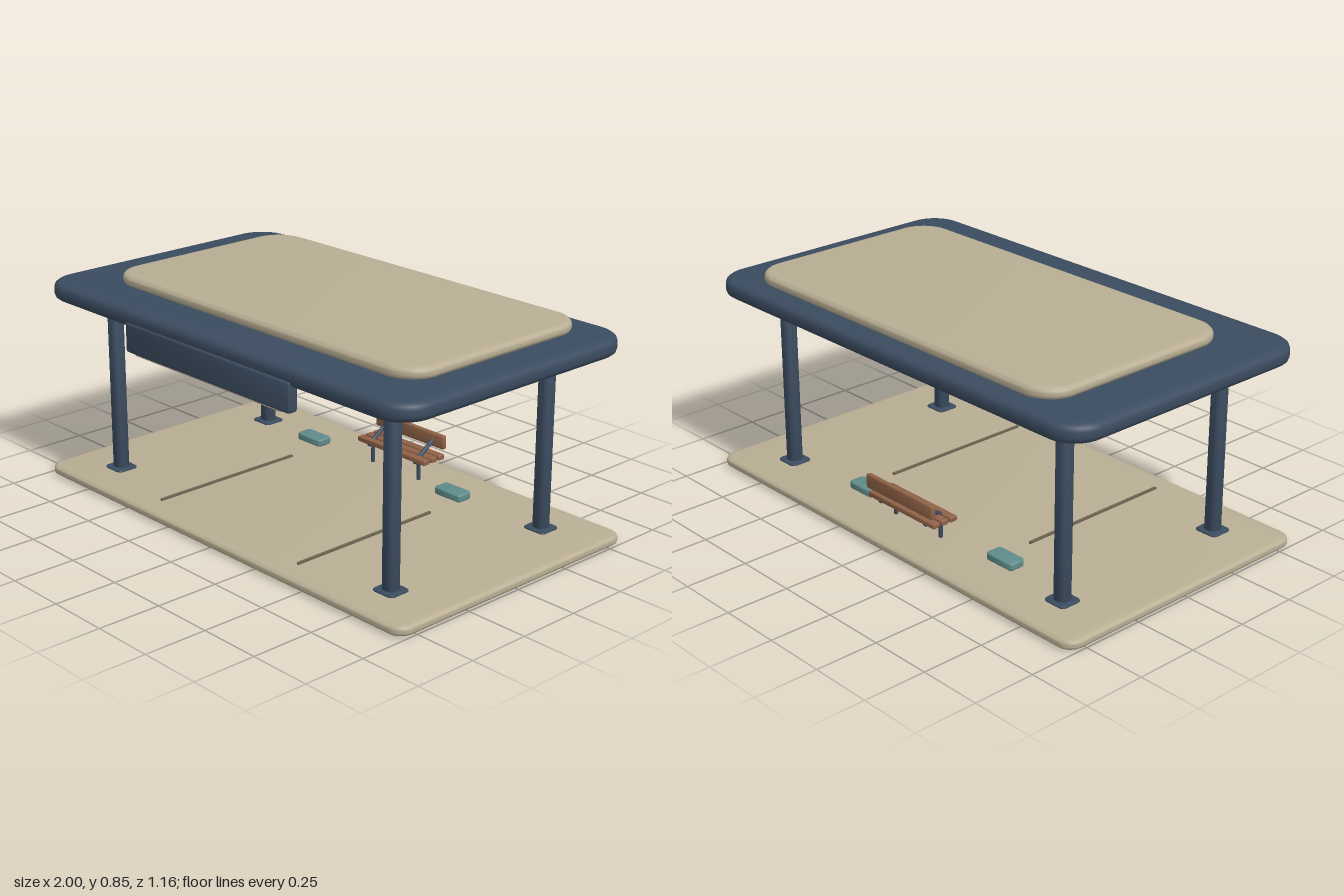
import * as THREE from 'three';
import { toCreasedNormals } from 'three/addons/utils/BufferGeometryUtils.js';

const material = (name, color) => {
  const m = new THREE.MeshStandardMaterial({ color });
  m.name = name;
  return m;
};

// Rounded plate lying flat: outer size w x h x d, plan corner radius r, edge bevel b
function plate(w, h, d, r, b, rise = b) {
  const x = w / 2 - b, y = d / 2 - b, c = Math.max(r - b, 0.001);
  const s = new THREE.Shape();
  s.moveTo(-x + c, -y);
  s.lineTo(x - c, -y);
  s.absarc(x - c, -y + c, c, -Math.PI / 2, 0);
  s.absarc(x - c, y - c, c, 0, Math.PI / 2);
  s.absarc(-x + c, y - c, c, Math.PI / 2, Math.PI);
  s.absarc(-x + c, -y + c, c, Math.PI, Math.PI * 1.5);
  const g = new THREE.ExtrudeGeometry(s, {
    depth: h - 2 * rise, bevelEnabled: b > 0, bevelSize: b, bevelThickness: rise,
    bevelSegments: 3, curveSegments: 8,
  });
  g.translate(0, 0, rise - h / 2);
  g.rotateX(-Math.PI / 2);
  return toCreasedNormals(g, 0.6);
}

export function createModel() {
  const model = new THREE.Group();
  model.name = 'shelter';
  const navy = material('navy metal', 0x3b4c60);
  const tan = material('tan panel', 0xb9ae94);
  const wood = material('brown wood', 0x8e6146);
  const teal = material('teal', 0x5f8c8c);
  const seam = material('seam brown', 0x6f6554);

  const add = (name, geo, mat, x, y, z, parent = model) => {
    const mesh = new THREE.Mesh(geo, mat);
    mesh.name = name;
    mesh.position.set(x, y, z);
    parent.add(mesh);
    return mesh;
  };

  // Floor slab and its two seams
  add('floorSlab', plate(2, 0.038, 1.16, 0.06, 0.018, 0.014), tan, 0, 0.021, 0);
  for (const x of [-0.39, 0.39])
    add('floorSeam', new THREE.BoxGeometry(0.01, 0.009, 0.67), seam, x, 0.0435, 0.15);

  // Roof canopy with raised panel
  add('roof', plate(1.985, 0.072, 1.148, 0.13, 0.032, 0.024), navy, -0.002, 0.774, 0);
  add('roofPanel', plate(1.64, 0.045, 0.88, 0.125, 0.02), tan, 0.027, 0.8275, -0.05);

  // Four posts with foot plates
  const postGeo = plate(0.058, 0.73, 0.058, 0.024, 0.002);
  const footGeo = plate(0.1, 0.012, 0.095, 0.02, 0.012, 0.005);
  for (const x of [-0.768, 0.762]) {
    for (const z of [-0.388, 0.39]) {
      add('post', postGeo, navy, x, 0.395, z);
      add('postFoot', footGeo, navy, x, 0.042, z);
      if (x < 0) add('postAnchor', new THREE.BoxGeometry(0.036, 0.01, 0.036), navy, x, 0.005, z);
    }
  }

  // Front fascia box with light strip along its lower edge
  add('fasciaBox', plate(0.908, 0.116, 0.046, 0.014, 0.01), navy, 0, 0.705, 0.558);
  add('fasciaLight', new THREE.BoxGeometry(0.81, 0.008, 0.022), tan, 0, 0.645, 0.56);

  // Round lamps under the roof
  for (const x of [-0.523, 0.523]) {
    add('lampHousing', new THREE.CylinderGeometry(0.036, 0.036, 0.01, 20), navy, x, 0.739, 0.245);
    add('lampLens', new THREE.CylinderGeometry(0.03, 0.03, 0.003, 20), tan, x, 0.7335, 0.245);
  }

  // Low teal blocks
  for (const x of [-0.443, 0.343])
    add('floorBlock', plate(0.135, 0.03, 0.072, 0.016, 0.007), teal, x, 0.061, -0.356);

  // Bench: slats, backrest, legs and sloping back supports
  const bench = new THREE.Group();
  bench.name = 'bench';
  model.add(bench);
  const slatGeo = plate(0.374, 0.021, 0.033, 0.005, 0.005);
  for (const z of [-0.376, -0.417, -0.458])
    add('seatSlat', slatGeo, wood, -0.002, 0.13, z, bench);
  add('backrest', plate(0.374, 0.055, 0.022, 0.005, 0.005), wood, -0.002, 0.188, -0.473, bench);
  const strutFrom = new THREE.Vector3(0, 0.13, -0.385);
  const strutTo = new THREE.Vector3(0, 0.188, -0.47);
  const strutDir = strutTo.clone().sub(strutFrom);
  for (const x of [-0.13, 0.126]) {
    add('benchLeg', new THREE.CylinderGeometry(0.008, 0.008, 0.09, 12), navy, x, 0.08, -0.39, bench);
    const strut = add('backSupport', new THREE.CapsuleGeometry(0.009, strutDir.length(), 4, 12), navy,
      x, 0.159, -0.4275, bench);
    strut.quaternion.setFromUnitVectors(new THREE.Vector3(0, 1, 0), strutDir.clone().normalize());
    add('seatBearer', new THREE.BoxGeometry(0.016, 0.01, 0.1), navy, x, 0.116, -0.417, bench);
  }

  return model;
}
